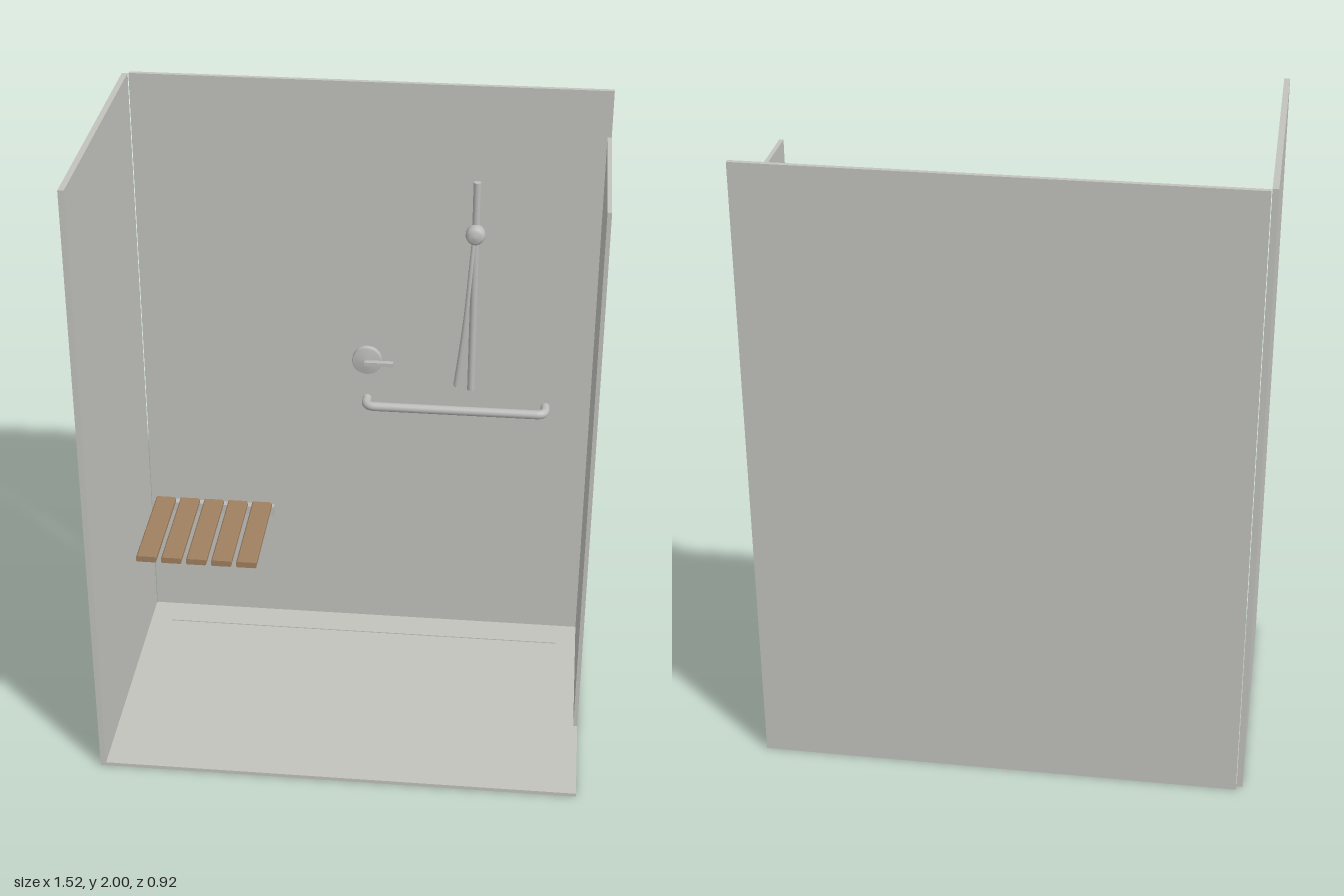
import * as THREE from 'three';

export function createModel() {
  const group = new THREE.Group();
  group.name = 'showerStall';

  const mat = (name, color) => {
    const m = new THREE.MeshStandardMaterial({ color });
    m.name = name;
    return m;
  };
  const panel = mat('panelGrey', 0xc3c3be);
  const metal = mat('brushedMetal', 0xbcbcba);
  const wood = mat('teakWood', 0xa08060);

  const add = (name, geometry, material, parent = group) => {
    const mesh = new THREE.Mesh(geometry, material);
    mesh.name = name;
    parent.add(mesh);
    return mesh;
  };
  // Box given by its minimum and maximum corners
  const box = (name, material, [x0, y0, z0], [x1, y1, z1], parent) => {
    const mesh = add(name, new THREE.BoxGeometry(x1 - x0, y1 - y0, z1 - z0), material, parent);
    mesh.position.set((x0 + x1) / 2, (y0 + y1) / 2, (z0 + z1) / 2);
    return mesh;
  };
  // Turned part standing out from the back wall: profile pairs are [radius, z]
  const turned = (name, profile, x, y, parent) => {
    const geometry = new THREE.LatheGeometry(profile.map(p => new THREE.Vector2(...p)), 32);
    geometry.rotateX(Math.PI / 2);
    const mesh = add(name, geometry, metal, parent);
    mesh.position.set(x, y, 0);
    return mesh;
  };
  const v = (x, y, z) => new THREE.Vector3(x, y, z);

  // Enclosure: floor, two tall walls and the short front-open side wall
  box('floor', panel, [-0.742, 0, -0.445], [0.757, 0.012, 0.457]);
  box('floorRidge', panel, [-0.67, 0.011, -0.342], [0.68, 0.015, -0.338]);
  box('backWall', panel, [-0.74, 0, -0.46], [0.757, 2, -0.445]);
  box('rightWall', panel, [-0.76, 0, -0.443], [-0.742, 2, 0.457]);
  box('leftWall', panel, [0.744, 0.012, -0.445], [0.757, 1.85, 0.115]);

  // Slatted seat
  const seat = new THREE.Group();
  seat.name = 'seat';
  group.add(seat);
  box('seatBracket', metal, [-0.722, 0.425, -0.437], [-0.31, 0.457, -0.413], seat);
  const w = 0.067, h = 0.021, b = 0.004;
  const slatShape = new THREE.Shape([
    [b, 0], [w - b, 0], [w, b], [w, h - b], [w - b, h], [b, h], [0, h - b], [0, b],
  ].map(p => new THREE.Vector2(...p)));
  for (let i = 0; i < 5; i++) {
    const slat = add('seatSlat', new THREE.ExtrudeGeometry(slatShape, { depth: 0.375, bevelEnabled: false }), wood, seat);
    slat.position.set(-0.717 + i * 0.0832, 0.456, -0.415);
  }

  // Grab bar with rounded elbows returning to the wall
  const r = 0.03, gy = 0.89, gz = -0.39, gx0 = 0.007, gx1 = 0.598;
  const bar = new THREE.CurvePath();
  bar.add(new THREE.LineCurve3(v(gx0, gy, -0.445), v(gx0, gy, gz - r)));
  bar.add(new THREE.QuadraticBezierCurve3(v(gx0, gy, gz - r), v(gx0, gy, gz), v(gx0 + r, gy, gz)));
  bar.add(new THREE.LineCurve3(v(gx0 + r, gy, gz), v(gx1 - r, gy, gz)));
  bar.add(new THREE.QuadraticBezierCurve3(v(gx1 - r, gy, gz), v(gx1, gy, gz), v(gx1, gy, gz - r)));
  bar.add(new THREE.LineCurve3(v(gx1, gy, gz - r), v(gx1, gy, -0.445)));
  add('grabBar', new THREE.TubeGeometry(bar, 160, 0.015, 16), metal);

  // Mixer valve with lever
  const valve = new THREE.Group();
  valve.name = 'valve';
  group.add(valve);
  turned('valvePlate', [[0.049, -0.446], [0.049, -0.43], [0.046, -0.425], [0, -0.42]], 0.007, 1.038, valve);
  box('valveLever', metal, [0.0, 1.031, -0.424], [0.095, 1.044, -0.406], valve);

  // Slide bar, hand shower and hose
  const shower = new THREE.Group();
  shower.name = 'handShower';
  group.add(shower);
  add('slideBar', new THREE.CylinderGeometry(0.012, 0.012, 0.735, 20), metal, shower)
    .position.set(0.352, 1.3325, -0.405);
  turned('showerHead', [
    [0, -0.416], [0.02, -0.416], [0.026, -0.411], [0.031, -0.395],
    [0.031, -0.38], [0.027, -0.366], [0.018, -0.36], [0, -0.358],
  ], 0.352, 1.53, shower);
  const hose = new THREE.CatmullRomCurve3([
    v(0.348, 1.51, -0.375), v(0.342, 1.42, -0.366), v(0.331, 1.26, -0.362),
    v(0.317, 1.12, -0.372), v(0.302, 0.99, -0.388),
  ]);
  add('hose', new THREE.TubeGeometry(hose, 40, 0.007, 12), metal, shower);
  const tip = add('hoseEnd', new THREE.SphereGeometry(0.007, 12, 8), metal, shower);
  tip.position.set(0.302, 0.99, -0.388);

  return group;
}
